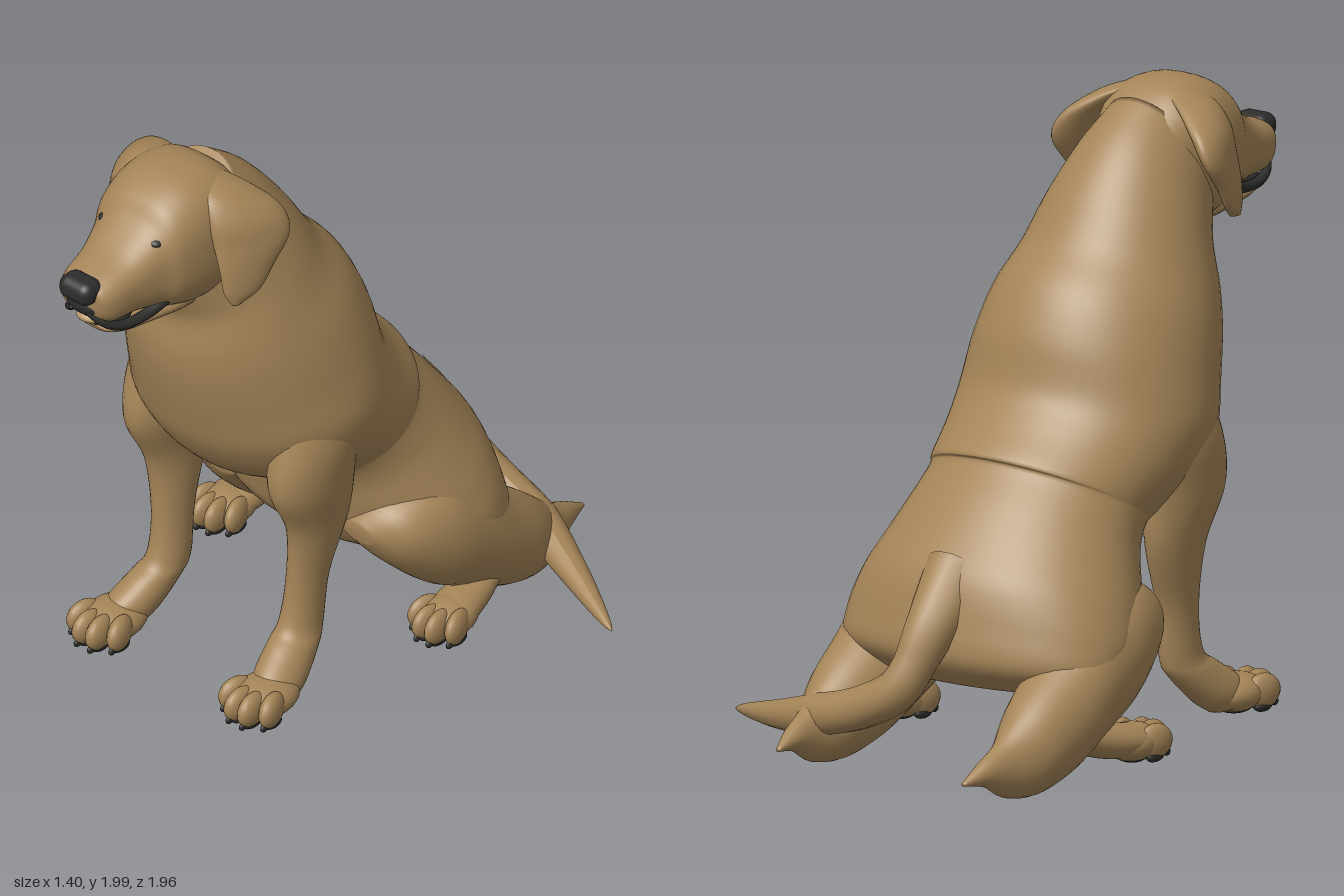
import * as THREE from 'three';
import { RoundedBoxGeometry } from 'three/addons/geometries/RoundedBoxGeometry.js';

const CX = -0.16; // midline of the body

const fur = new THREE.MeshStandardMaterial({ color: 0xa58558 });
fur.name = 'fur';
const dark = new THREE.MeshStandardMaterial({ color: 0x2d2d2b });
dark.name = 'darkSkin';
const tongueTan = new THREE.MeshStandardMaterial({ color: 0xb8976a });
tongueTan.name = 'tongueTan';

const cubic = (a, b, c, d, t) =>
  0.5 * (2 * b + (c - a) * t + (2 * a - 5 * b + 4 * c - d) * t * t + (3 * b - a - 3 * c + d) * t * t * t);
const squared = (v, e) => Math.sign(v) * Math.pow(Math.abs(v), e);

// Smooth closed skin. Station: [zA, yA, zB, yB, xOffset, halfWidth, xLean], A and B are opposite edges.
// A power below 1 makes the cross-section squarer.
function loft(stations, side = 1, n = 32, power = 1) {
  const rows = [], steps = 6;
  const at = (i) => stations[Math.min(Math.max(i, 0), stations.length - 1)];
  for (let i = 0; i < stations.length - 1; i++) {
    for (let k = 0; k < steps; k++) {
      rows.push([0, 1, 2, 3, 4, 5, 6].map((c) =>
        cubic(at(i - 1)[c] ?? 0, at(i)[c] ?? 0, at(i + 1)[c] ?? 0, at(i + 2)[c] ?? 0, k / steps)));
    }
  }
  rows.push([0, 1, 2, 3, 4, 5, 6].map((c) => at(stations.length)[c] ?? 0));
  const pos = [], idx = [];
  for (const [za, ya, zb, yb, x, hw, lean] of rows) {
    for (let j = 0; j < n; j++) {
      const a = (j / n) * Math.PI * 2, c = squared(Math.cos(a), power);
      pos.push(CX + side * (x + squared(Math.sin(a), power) * Math.max(hw, 0.001) + c * lean),
        (ya + yb) / 2 + c * (ya - yb) / 2, (za + zb) / 2 + c * (za - zb) / 2);
    }
  }
  for (let i = 0; i < rows.length - 1; i++) {
    for (let j = 0; j < n; j++) {
      const a = i * n + j, b = i * n + (j + 1) % n;
      idx.push(a, b, a + n, b, b + n, a + n);
    }
  }
  // End caps
  [0, rows.length - 1].forEach((r, end) => {
    const [za, ya, zb, yb, x] = rows[r];
    const m = pos.length / 3;
    pos.push(CX + side * x, (ya + yb) / 2, (za + zb) / 2);
    for (let j = 0; j < n; j++) {
      const a = r * n + j, b = r * n + (j + 1) % n;
      idx.push(...(end ? [a, b, m] : [b, a, m]));
    }
  });
  // Turn the skin outward
  let volume = 0;
  const p = [new THREE.Vector3(), new THREE.Vector3(), new THREE.Vector3()];
  for (let i = 0; i < idx.length; i += 3) {
    p.forEach((v, k) => v.fromArray(pos, idx[i + k] * 3));
    volume += p[0].dot(p[1].clone().cross(p[2]));
  }
  if (volume < 0) idx.reverse();
  const g = new THREE.BufferGeometry();
  g.setAttribute('position', new THREE.Float32BufferAttribute(pos, 3));
  g.setIndex(idx);
  g.computeVertexNormals();
  return g;
}

// Tube whose radius follows a rule along the path
function taperedTube(points, radius, segments = 50) {
  const curve = new THREE.CatmullRomCurve3(points.map((q) => new THREE.Vector3(...q)));
  const g = new THREE.TubeGeometry(curve, segments, 1, 14);
  const pos = g.attributes.position, v = new THREE.Vector3();
  for (let i = 0; i < pos.count; i++) {
    const t = Math.floor(i / 15) / segments;
    const c = curve.getPointAt(t);
    v.fromBufferAttribute(pos, i).sub(c).multiplyScalar(radius(t)).add(c);
    pos.setXYZ(i, v.x, v.y, v.z);
  }
  g.computeVertexNormals();
  return g;
}

export function createModel() {
  const model = new THREE.Group();
  model.name = 'sittingDog';
  const add = (name, geometry, material = fur) => {
    const m = new THREE.Mesh(geometry, material);
    m.name = name;
    model.add(m);
    return m;
  };
  const ball = (name, x, y, z, rx, ry, rz, material = fur) => {
    const m = add(name, new THREE.SphereGeometry(1, 20, 14), material);
    m.position.set(CX + x, y, z);
    m.scale.set(rx, ry, rz);
    return m;
  };

  // Neck, chest and haunches, with a fold across the back
  add('torso', loft([
    [0.33, 1.95, 0.6, 1.56, 0, 0.18],
    [0.2, 1.85, 0.575, 1.51, 0, 0.22],
    [0.08, 1.71, 0.55, 1.44, 0, 0.265],
    [-0.02, 1.56, 0.555, 1.32, 0, 0.315],
    [-0.13, 1.44, 0.54, 1.2, 0, 0.36],
    [-0.2, 1.3, 0.5, 1.05, 0, 0.395],
    [-0.24, 1.14, 0.45, 0.92, 0, 0.42],
    [-0.31, 1.05, 0.34, 0.78, 0, 0.405],
    [-0.4, 0.965, 0.16, 0.68, 0, 0.375],
    [-0.395, 0.935, 0.1, 0.65, 0, 0.373],
    [-0.48, 0.84, 0.06, 0.59, 0, 0.395],
    [-0.56, 0.74, 0.035, 0.51, 0, 0.435],
    [-0.635, 0.63, 0.0, 0.42, 0, 0.48],
    [-0.67, 0.5, -0.08, 0.33, 0, 0.51],
    [-0.68, 0.38, -0.2, 0.275, 0, 0.485],
    [-0.61, 0.29, -0.3, 0.26, 0, 0.33],
  ], 1, 56));

  // Skull and upper muzzle
  add('head', loft([
    [0.28, 1.86, 0.36, 1.62, 0, 0.14],
    [0.4, 1.975, 0.45, 1.54, 0, 0.2],
    [0.54, 1.992, 0.56, 1.535, 0, 0.2],
    [0.65, 1.95, 0.65, 1.56, 0, 0.18],
    [0.71, 1.885, 0.71, 1.585, 0, 0.15],
    [0.8, 1.82, 0.79, 1.605, 0, 0.125],
    [0.89, 1.785, 0.88, 1.615, 0, 0.11],
    [0.935, 1.765, 0.92, 1.64, 0, 0.085],
    [0.945, 1.74, 0.94, 1.67, 0, 0.04],
  ], 1, 44, 0.78));
  add('lowerJaw', loft([
    [0.5, 1.62, 0.5, 1.5, 0, 0.12],
    [0.6, 1.62, 0.6, 1.52, 0, 0.13],
    [0.72, 1.61, 0.7, 1.532, 0, 0.11],
    [0.82, 1.6, 0.81, 1.548, 0, 0.088],
    [0.88, 1.6, 0.87, 1.565, 0, 0.06],
    [0.89, 1.59, 0.88, 1.58, 0, 0.02],
  ]));
  // Dark lips, open mouth and nose
  for (const s of [-1, 1]) {
    add('lip', taperedTube([
      [CX + s * 0.12, 1.632, 0.65], [CX + s * 0.105, 1.602, 0.75], [CX + s * 0.09, 1.605, 0.85],
      [CX + s * 0.07, 1.635, 0.905], [CX + s * 0.03, 1.672, 0.932],
    ], (t) => 0.02 - 0.006 * t, 30), dark);
  }
  ball('mouth', 0, 1.61, 0.82, 0.085, 0.025, 0.085, dark);
  ball('tongue', 0, 1.628, 0.89, 0.048, 0.022, 0.04, tongueTan);
  add('nose', new RoundedBoxGeometry(0.13, 0.082, 0.09, 4, 0.035), dark).position.set(CX, 1.748, 0.935);
  ball('philtrum', 0, 1.685, 0.92, 0.068, 0.036, 0.03, dark);

  // Tail curling to the left
  add('tail', taperedTube([
    [CX, 0.62, -0.53], [CX, 0.46, -0.69], [-0.11, 0.3, -0.77], [0.02, 0.22, -0.78],
    [0.2, 0.165, -0.76], [0.42, 0.115, -0.68], [0.69, 0.07, -0.56],
  ], (t) => 0.002 + 0.065 * Math.pow(Math.min(1, (1 - t) / 0.4), 0.65) + 0.05 * Math.max(0, 1 - t / 0.25)));

  // Four knuckled toes with small claws, and the pads below
  const paw = (name, s, x, z, half, length) => {
    ball(name, s * x, 0.105, z, half * 0.95, 0.06, length);
    ball(name + 'Pad', s * x, 0.065, z, half * 0.6, 0.026, length * 0.5, dark);
    for (let i = 0; i < 4; i++) {
      const k = (i - 1.5) / 1.5;
      const tx = s * (x + k * half * 0.72), tz = z + length * 0.9 - Math.abs(k) * 0.055;
      ball(name + 'Toe', tx, 0.107, tz, half * 0.32, 0.056, 0.065).rotation.y = s * k * 0.25;
      ball(name + 'ToePad', tx, 0.062, tz, half * 0.22, 0.02, 0.04, dark);
      ball(name + 'Claw', tx + s * k * 0.01, 0.068, tz + 0.046, 0.009, 0.014, 0.016, dark);
    }
  };

  for (const s of [-1, 1]) {
    const side = s > 0 ? 'left' : 'right';
    // Drooping ear, rooted in the side of the skull
    add(side + 'Ear', loft([
      [0.41, 1.965, 0.48, 1.97, 0.07, 0.04, 0],
      [0.36, 1.925, 0.53, 1.935, 0.15, 0.055, 0.015],
      [0.31, 1.86, 0.55, 1.865, 0.22, 0.055, 0.035],
      [0.31, 1.78, 0.55, 1.78, 0.255, 0.045, 0.042],
      [0.38, 1.69, 0.55, 1.7, 0.265, 0.032, 0.03],
      [0.43, 1.62, 0.545, 1.63, 0.265, 0.025, 0.02],
      [0.48, 1.585, 0.525, 1.585, 0.26, 0.012, 0],
    ], s));
    ball(side + 'Eye', s * 0.1, 1.842, 0.7, 0.026, 0.016, 0.026, dark);

    // Shoulder and foreleg
    add(side + 'Foreleg', loft([
      [0.05, 1.25, 0.27, 1.25, 0.22, 0.06],
      [0.0, 1.0, 0.34, 1.0, 0.285, 0.11],
      [0.03, 0.8, 0.37, 0.8, 0.295, 0.1],
      [0.045, 0.62, 0.29, 0.62, 0.29, 0.073],
      [0.115, 0.42, 0.275, 0.42, 0.275, 0.057],
      [0.14, 0.25, 0.3, 0.27, 0.27, 0.06],
      [0.17, 0.19, 0.36, 0.22, 0.28, 0.068],
      [0.26, 0.1, 0.44, 0.16, 0.3, 0.075],
      [0.32, 0.06, 0.46, 0.1, 0.31, 0.06],
    ], s));
    paw(side + 'ForePaw', s, 0.31, 0.43, 0.1, 0.12);

    // Thigh running back to the pointed hock
    add(side + 'HindLeg', loft([
      [-0.02, 0.49, -0.03, 0.42, 0.28, 0.06],
      [-0.09, 0.56, -0.1, 0.33, 0.325, 0.125],
      [-0.24, 0.6, -0.24, 0.2, 0.355, 0.157],
      [-0.4, 0.54, -0.4, 0.11, 0.363, 0.16],
      [-0.55, 0.41, -0.54, 0.04, 0.37, 0.145],
      [-0.68, 0.31, -0.68, 0.005, 0.375, 0.115],
      [-0.8, 0.205, -0.8, 0.02, 0.375, 0.06],
      [-0.9, 0.15, -0.89, 0.07, 0.37, 0.034],
      [-0.98, 0.1, -0.98, 0.088, 0.36, 0.008],
    ], s));
    // Hind foot reaching forward from under the thigh
    add(side + 'HindFoot', loft([
      [-0.5, 0.2, -0.48, 0.1, 0.42, 0.05],
      [-0.38, 0.18, -0.38, 0.07, 0.435, 0.07],
      [-0.27, 0.165, -0.27, 0.06, 0.45, 0.08],
      [-0.2, 0.14, -0.2, 0.07, 0.45, 0.06],
    ], s));
    paw(side + 'HindPaw', s, 0.45, -0.26, 0.09, 0.1);
  }
  return model;
}
